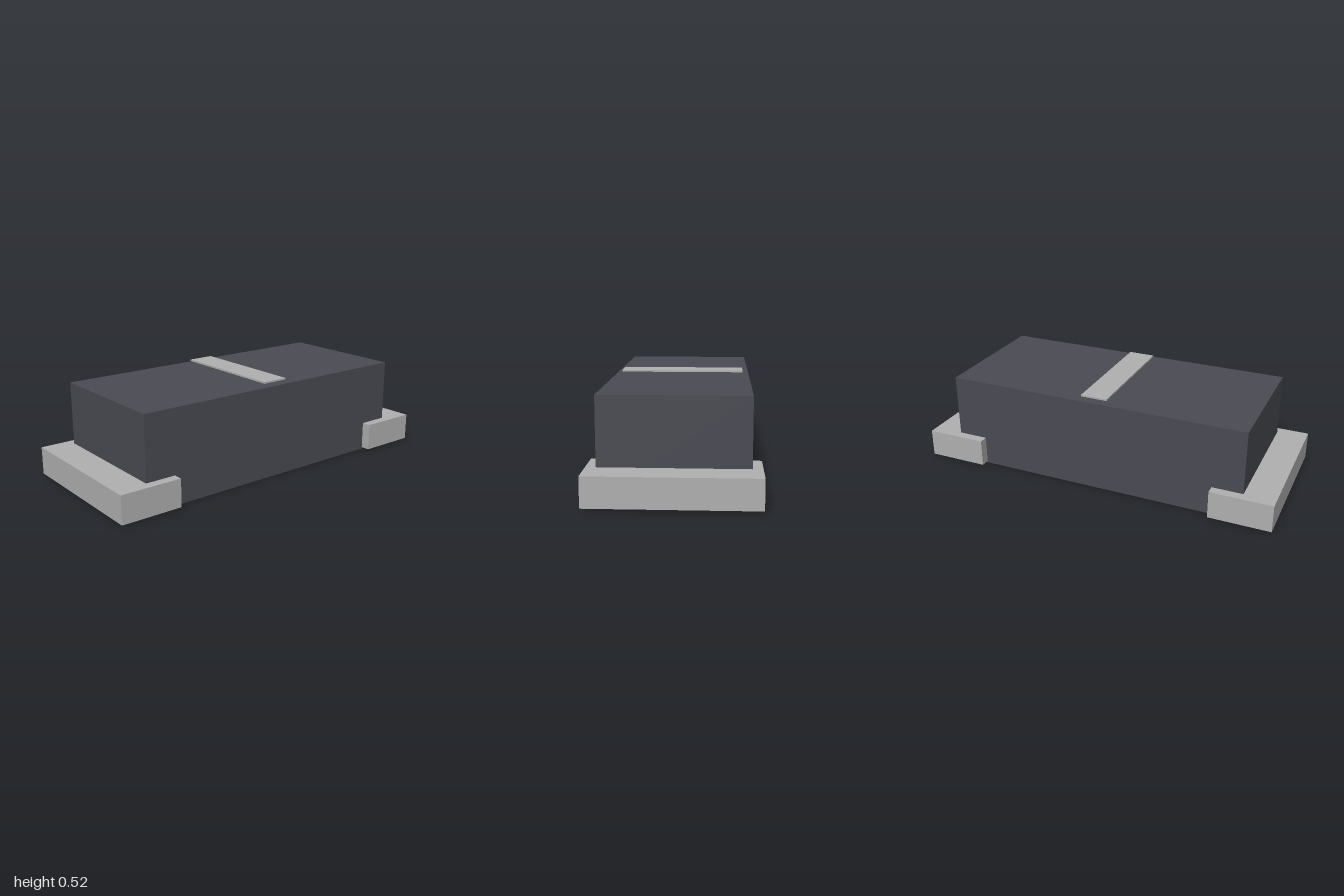
import * as THREE from 'three';

export function createModel() {
  const model = new THREE.Group();
  const plastic = new THREE.MeshStandardMaterial({ color: 0x4a4b53 });
  plastic.name = 'dark plastic';
  const metal = new THREE.MeshStandardMaterial({ color: 0xb0b0b0 });
  metal.name = 'grey metal';

  const addBox = (name, material, [w, h, d], [x, y, z]) => {
    const mesh = new THREE.Mesh(new THREE.BoxGeometry(w, h, d), material);
    mesh.name = name;
    mesh.position.set(x, y, z);
    model.add(mesh);
  };

  // Component body
  addBox('body', plastic, [1.666, 0.502, 0.732], [0, 0.251, 0]);

  // Contact pads wrapping both ends
  for (const [name, side] of [['leftTerminal', 1], ['rightTerminal', -1]]) {
    addBox(name, metal, [0.333, 0.15, 0.833], [side * 0.8335, 0.084, 0]);
  }

  // Marking strip floating just above the top
  addBox('markingStrip', metal, [0.146, 0.009, 0.667], [0, 0.518, 0]);

  return model;
}
